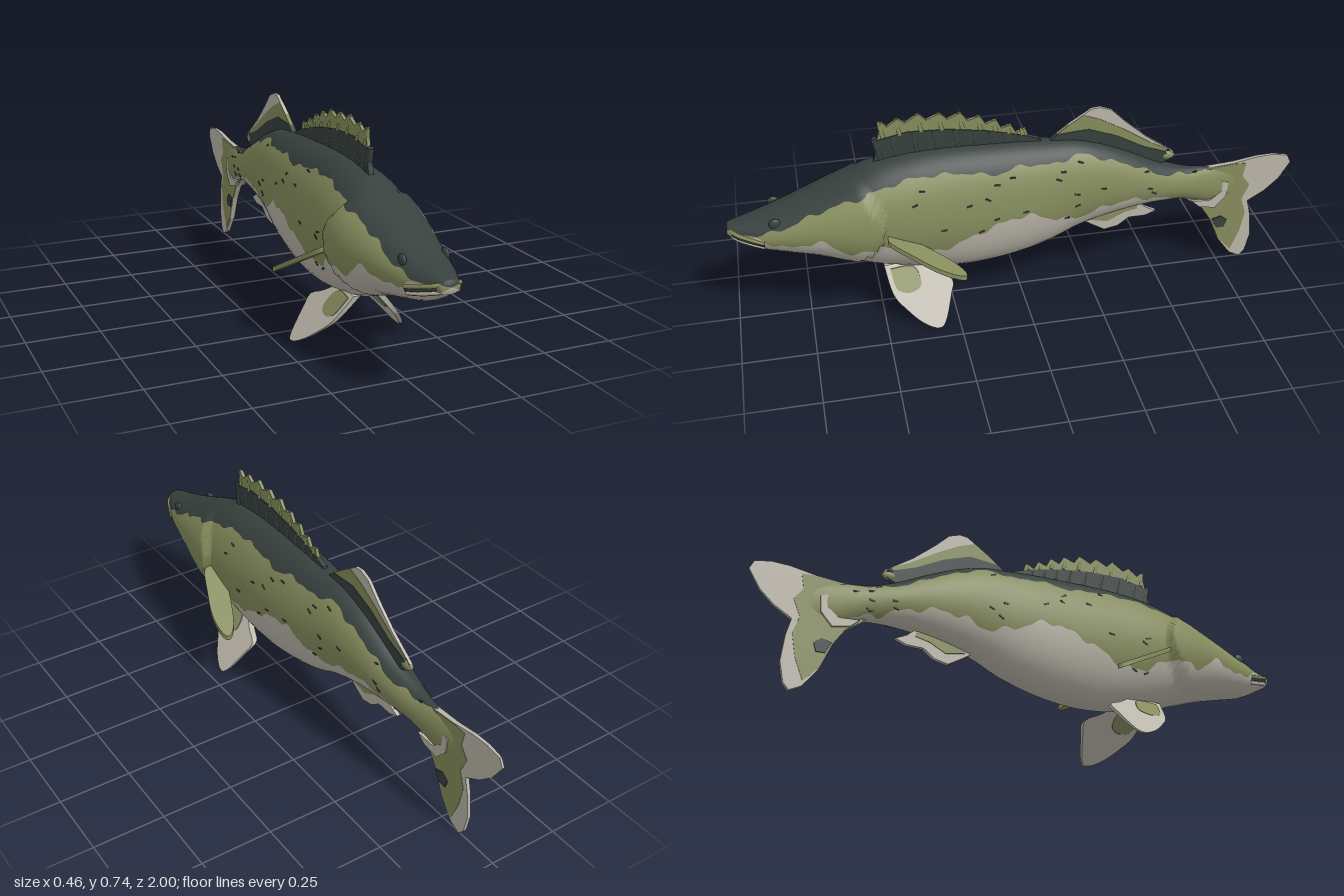
import * as THREE from 'three';

const mat = (name, color) => Object.assign(new THREE.MeshStandardMaterial({ color }), { name });

// Body stations every 0.1 from z = 1 (nose) to z = -0.8 (tail root)
const TOP = [.405, .43, .465, .505, .545, .585, .603, .61, .61, .607, .603, .595, .585, .555, .51, .46, .425, .41, .38];
const BOTTOM = [.365, .312, .285, .26, .225, .188, .165, .147, .14, .147, .165, .195, .24, .27, .29, .3, .295, .27, .27];
const WIDTH = [.03, .078, .105, .122, .135, .138, .138, .135, .132, .127, .12, .11, .098, .087, .075, .06, .042, .026, .008];
const BACK_EDGE = [.39, .39, .42, .465, .5, .525, .55, .555, .55, .535, .55, .54, .555, .52, .48, .43, .412, .405, .375];
const BELLY_EDGE = [.38, .375, .345, .37, .315, .33, .28, .275, .315, .355, .375, .34, .32, .35, .355, .335, .305, .28, .275];

// Smooth interpolation of a station list at z
function at(list, z) {
  const f = THREE.MathUtils.clamp((1 - z) * 10, 0, list.length - 1);
  const i = Math.min(Math.floor(f), list.length - 2), t = f - i;
  const p1 = list[i], p2 = list[i + 1];
  const p0 = list[i - 1] ?? 2 * p1 - p2, p3 = list[i + 2] ?? 2 * p2 - p1;
  return p1 + .5 * t * (p2 - p0 + t * (2 * p0 - 5 * p1 + 4 * p2 - p3 + t * (3 * (p1 - p2) + p3 - p0)));
}

// Gill covers swell backwards and end in a curved step
function flare(z, y) {
  const edge = .485 + 4 * (y - .4) ** 2;
  return z < edge ? 0 : .024 * (1 - THREE.MathUtils.smoothstep(z, edge, .85));
}

function section(z) {
  const t = at(TOP, z), b = at(BOTTOM, z);
  return { mid: (t + b) / 2, h: (t - b) / 2, w: at(WIDTH, z) };
}

// Half width of the body at (z, y)
function surfaceX(z, y) {
  const { mid, h, w } = section(z);
  const c = Math.sqrt(Math.max(0, 1 - ((y - mid) / h) ** 2));
  return (w + flare(z, y)) * c;
}

function bodyGeometry() {
  const rings = 200, counts = [7, 9, 7], half = 23, n = half * 2;
  const pos = [], faces = [[], [], []];
  const band = j => {
    const k = j < half ? j : n - 1 - j;
    return k < counts[0] ? 0 : k < counts[0] + counts[1] ? 1 : 2;
  };
  for (let i = 0; i <= rings; i++) {
    const z = 1 - 1.8 * i / rings, { mid, h, w } = section(z);
    const wave = .007 * (Math.sin(z * 53) + .6 * Math.sin(z * 97));
    const angle = y => Math.asin(THREE.MathUtils.clamp((y - mid) / h, -.97, .97));
    const a1 = angle(at(BACK_EDGE, z) + wave * .6);
    const a2 = Math.min(angle(at(BELLY_EDGE, z) - wave), a1 - .05);
    const stops = [Math.PI / 2, a1, a2, -Math.PI / 2], angles = [];
    counts.forEach((c, k) => {
      for (let s = 0; s < c; s++) angles.push(THREE.MathUtils.lerp(stops[k], stops[k + 1], s / c));
    });
    angles.push(-Math.PI / 2);
    for (let j = 0; j < n; j++) {
      const a = angles[j <= half ? j : n - j], y = mid + h * Math.sin(a);
      pos.push((j <= half ? 1 : -1) * (w + flare(z, y)) * Math.cos(a), y, z);
    }
  }
  for (let i = 0; i < rings; i++) for (let j = 0; j < n; j++) {
    const a = i * n + j, b = i * n + (j + 1) % n;
    faces[band(j)].push(a, b, a + n, b, b + n, a + n);
  }
  // Nose and tail caps
  const nose = pos.length / 3;
  pos.push(0, section(1).mid, 1, 0, section(-.8).mid, -.8);
  for (let j = 0; j < n; j++) {
    const k = (j + 1) % n;
    faces[band(j)].push(nose, k, j, nose + 1, rings * n + j, rings * n + k);
  }
  const g = new THREE.BufferGeometry();
  g.setAttribute('position', new THREE.Float32BufferAttribute(pos, 3));
  g.setIndex(faces.flat());
  let start = 0;
  faces.forEach((f, k) => { g.addGroup(start, f.length, k); start += f.length; });
  g.computeVertexNormals();
  return g;
}

// Thin slab from a 2D outline, with each point then placed by a rule
function slab(points, thick, place, smooth) {
  let pts = points.map(p => new THREE.Vector2(...p));
  if (smooth) pts = new THREE.SplineCurve([...pts, pts[0]]).getPoints(48).slice(0, -1);
  const g = new THREE.ExtrudeGeometry(new THREE.Shape(pts), { depth: thick, bevelEnabled: false });
  const p = g.attributes.position;
  for (let i = 0; i < p.count; i++) p.setXYZ(i, ...place(p.getX(i), p.getY(i), p.getZ(i) - thick / 2));
  g.computeVertexNormals();
  return g;
}
const upright = (u, v, t) => [-t, v, u];

export function createModel() {
  const root = new THREE.Group();
  root.name = 'fish';
  const dark = mat('dark back', 0x38413f), green = mat('olive green', 0x868d5d), cream = mat('cream belly', 0xbcb7ab);
  const add = (name, geo, m, parent = root) => {
    const mesh = new THREE.Mesh(geo, m);
    mesh.name = name;
    parent.add(mesh);
    return mesh;
  };
  add('body', bodyGeometry(), [dark, green, cream]);

  // Mouth line and upper lip, wrapped round the snout
  const lip = (dy, r, name, m) => {
    const side = [[.88, .35], [.93, .362], [.975, .376]].map(([z, y]) => [surfaceX(z, y + dy), y + dy, z]);
    const path = [...side, [0, .384 + dy, 1.0 - r], ...side.slice().reverse().map(([x, y, z]) => [-x, y, z])];
    const curve = new THREE.CatmullRomCurve3(path.map(p => new THREE.Vector3(...p)));
    add(name, new THREE.TubeGeometry(curve, 40, r, 6), m);
  };
  lip(0, .005, 'mouthLine', dark);
  lip(.01, .007, 'upperLip', green);
  lip(-.011, .007, 'lowerLip', cream);

  // Eyes
  for (const s of [1, -1]) {
    const eye = add(s > 0 ? 'leftEye' : 'rightEye', new THREE.SphereGeometry(.02, 20, 14), dark);
    eye.scale.x = .5;
    eye.position.set(s * surfaceX(.84, .425), .425, .84);
  }

  // Spiny front dorsal fin: dark lower web, green scalloped upper web, spines
  const tips = [[.465, .73], [.41, .735], [.34, .745], [.27, .74], [.2, .735], [.135, .715], [.08, .695], [.03, .67], [-.02, .65]];
  const crest = [];
  tips.forEach(([z, y], i) => {
    crest.push([z, y]);
    const next = tips[i + 1];
    if (next) crest.push([z * .65 + next[0] * .35, (y + next[1]) / 2 - .022]);
  });
  const webTop = [[.48, .665], [.38, .685], [.25, .68], [.12, .66], [.02, .635], [-.03, .62]];
  const spiny = new THREE.Group();
  spiny.name = 'frontDorsalFin';
  root.add(spiny);
  add('lowerWeb', slab([[.5, .57], ...webTop, [-.07, .605], [-.08, .57]], .018, upright), dark, spiny);
  add('upperWeb', slab([...webTop.slice().reverse(), ...crest], .012, upright), green, spiny);
  for (const [z, y] of tips) {
    const spine = (y0, y1, r0, r1, m) => {
      const g = new THREE.CylinderGeometry(r1, r0, y1 - y0, 6);
      g.rotateX(.22);
      g.translate(0, (y0 + y1) / 2, z + .02 - ((y0 + y1) / 2 - .6) * .18);
      add('spine', g, m, spiny);
    };
    const split = .6 + (y - .6) * .55;
    spine(.58, split, .013, .011, dark);
    spine(split, y, .011, .005, green);
  }

  // Soft rear dorsal fin in three bands
  const rear = new THREE.Group();
  rear.name = 'rearDorsalFin';
  root.add(rear);
  const lowBand = [[-.13, .615], [-.24, .622], [-.34, .585], [-.44, .53], [-.52, .5]];
  const highBand = [[-.17, .645], [-.22, .678], [-.28, .655], [-.36, .61], [-.46, .545], [-.53, .508]];
  add('darkBand', slab([[-.09, .58], ...lowBand, [-.54, .468], [-.5, .45], [-.3, .53]], .018, upright), dark, rear);
  add('greenBand', slab([...lowBand, ...highBand.slice().reverse()], .014, upright), green, rear);
  add('creamBand', slab([...highBand, [-.555, .48], [-.55, .495], [-.5, .53], [-.45, .565], [-.37, .635], [-.32, .685],
    [-.28, .7], [-.25, .698]], .011, upright), cream, rear);
  const knob = add('rearTip', new THREE.SphereGeometry(.02, 12, 8), green, rear);
  knob.scale.set(.6, .8, 1.4);
  knob.position.set(0, .48, -.53);

  // Anal fin
  add('analFin', slab([[-.2, .27], [-.26, .23], [-.31, .2], [-.36, .21], [-.4, .24], [-.46, .24], [-.5, .255],
    [-.46, .275], [-.42, .31], [-.3, .31]], .014, upright), cream);
  add('analFinPatch', slab([[-.25, .25], [-.32, .235], [-.38, .265], [-.43, .275], [-.42, .305], [-.3, .3]], .018, upright), green);

  // Forked tail, thinning to the rear
  const thin = (u, v, t) => [-t * THREE.MathUtils.mapLinear(u, -.6, -1, 1.4, .5), v, u];
  const tail = new THREE.Group();
  tail.name = 'tailFin';
  root.add(tail);
  add('tailWeb', slab([[-.6, .405], [-.7, .412], [-.78, .418], [-.87, .433], [-.93, .435], [-.985, .425], [-1, .395],
    [-.96, .33], [-.91, .285], [-.85, .25], [-.865, .19], [-.875, .1], [-.86, .03], [-.84, .008], [-.8, .028],
    [-.75, .095], [-.71, .19], [-.67, .25], [-.6, .3]], .016, thin), cream, tail);
  add('tailGreen', slab([[-.6, .4], [-.78, .416], [-.83, .413], [-.82, .36], [-.85, .32], [-.825, .26], [-.845, .2],
    [-.83, .12], [-.8, .045], [-.75, .098], [-.71, .192], [-.67, .252], [-.6, .305]], .019, thin), green, tail);
  add('tailPaleMark', slab([[-.74, .355], [-.765, .345], [-.76, .29], [-.72, .245], [-.66, .258], [-.63, .285], [-.7, .28],
    [-.74, .31]], .034, thin), cream, tail);
  add('tailDarkMark', slab([[-.715, .19], [-.75, .2], [-.775, .18], [-.765, .15], [-.735, .152]], .026, thin), dark, tail);

  for (const s of [1, -1]) {
    const side = s > 0 ? 'left' : 'right';
    // Pelvic fin, splayed outwards
    const splay = (u, v, t) => [-t * (.6 + v * 5) + s * (.052 + (.175 - v) * .84), v, u];
    add(side + 'PelvicFin', slab([[.49, .19], [.47, .11], [.43, .065], [.38, .025], [.33, .005], [.3, .02], [.27, .09],
      [.26, .13], [.31, .155], [.38, .19]], .016, splay, true), cream);
    add(side + 'PelvicPatch', slab([[.47, .18], [.455, .125], [.41, .11], [.37, .13], [.39, .18]], .02, splay, true), green);
    // Pectoral fin, swept back and down
    const swept = (u, v, t) => [u, .352 - (.47 + v) * .5 - (s * u - .165) * .2 + t, -v];
    add(side + 'PectoralFin', slab([[.12, .47], [.165, .475], [.2, .4], [.228, .32], [.23, .25], [.212, .225], [.18, .25],
      [.15, .31], [.12, .4]].map(([x, z]) => [s * x, -z]), .018, swept, true), green);
  }

  // Small dark flecks on the flanks
  let seed = 11;
  const rand = () => (seed = (seed * 16807) % 2147483647) / 2147483647;
  const fleck = new THREE.BoxGeometry(.004, .006, .02);
  for (let i = 0; i < 44; i++) {
    const s = i % 2 ? 1 : -1, z = .4 - rand() * 1.05;
    const y = THREE.MathUtils.lerp(at(BELLY_EDGE, z) - .02, at(BACK_EDGE, z), rand());
    const mesh = add('fleck', fleck, dark);
    mesh.position.set(s * surfaceX(z, y), y, z);
    mesh.rotation.x = rand() * 1.2 - .6;
  }
  return root;
}
